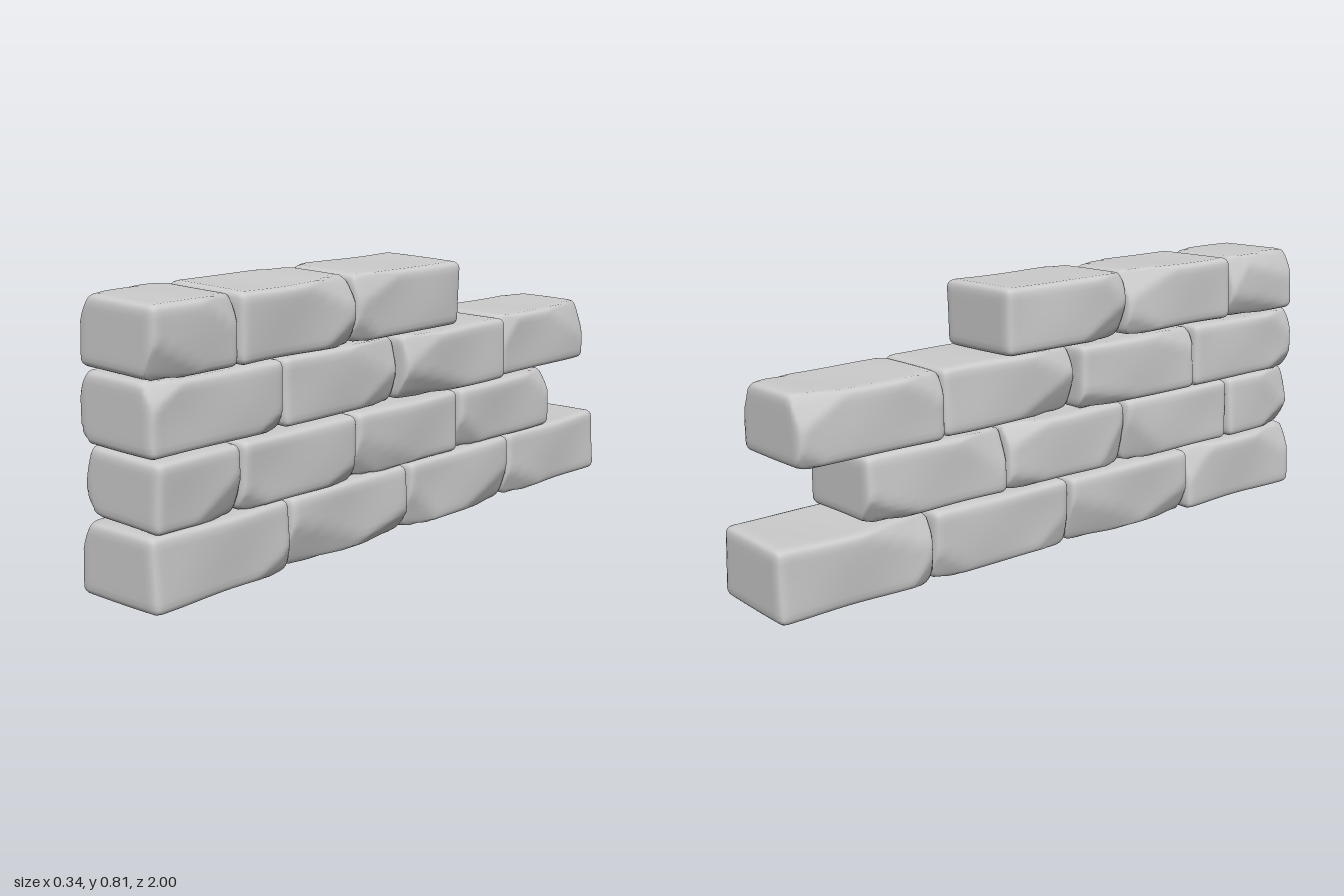
import * as THREE from 'three';
import { mergeVertices } from 'three/addons/utils/BufferGeometryUtils.js';

// Small seeded generator so every stone is worn differently but repeatably
function seeded(seed) {
  let s = seed * 7919 + 17;
  return () => {
    s = (s * 16807) % 2147483647;
    return s / 2147483647;
  };
}

// Worn stone block: rounded box with chipped edges and soft dents
function stoneGeometry(w, h, d, seed) {
  const rnd = seeded(seed);
  for (let i = 0; i < 5; i++) rnd();
  const half = new THREE.Vector3(w / 2, h / 2, d / 2);
  const radius = 0.024;
  const inner = half.clone().subScalar(radius);

  // Chip planes cut shallow facets along the edges of the two broad sides
  const chips = [];
  for (let i = 0; i < 5; i++) {
    const sx = i % 2 ? 1 : -1;
    const sy = rnd() < 0.6 ? -1 : 1;
    const sz = rnd() < 0.5 ? -1 : 1;
    const n = new THREE.Vector3(sx, sy * (0.3 + 0.4 * rnd()), sz * (0.12 + 0.3 * rnd())).normalize();
    const corner = new THREE.Vector3(sx * half.x, sy * half.y, sz * half.z);
    chips.push({ n, c: n.dot(corner) - 0.028 - 0.022 * rnd() });
  }
  const phase = [rnd() * 6, rnd() * 6, rnd() * 6];

  const geo = new THREE.BoxGeometry(2, 2, 2, 14, 12, 26);
  geo.deleteAttribute('uv');
  geo.deleteAttribute('normal');
  const merged = mergeVertices(geo, 1e-4);
  const pos = merged.attributes.position;
  const p = new THREE.Vector3();
  const core = new THREE.Vector3();
  // Crowd the grid lines towards the edges, where the rounding happens
  const spread = (t) => 0.25 * t + 0.75 * Math.sin((t * Math.PI) / 2);
  for (let i = 0; i < pos.count; i++) {
    p.fromBufferAttribute(pos, i);
    p.set(spread(p.x), spread(p.y), spread(p.z)).multiply(half);
    core.copy(p).clamp(inner.clone().negate(), inner);
    p.sub(core).setLength(radius).add(core);
    for (const { n, c } of chips) {
      const over = n.dot(p) - c;
      if (over > 0) p.addScaledVector(n, -over * 0.9);
    }
    // Soft waves, strongest across the broad sides
    const wave = Math.sin(p.z * 13 + phase[0]) * Math.cos(p.y * 14 + phase[1]);
    p.x += (p.x / half.x) * 0.005 * (wave - 0.3);
    p.y += (p.y / half.y) * 0.0025 * (Math.sin(p.z * 15 + phase[2]) * Math.cos(p.x * 9) - 0.3);
    pos.setXYZ(i, p.x, p.y, p.z);
  }
  merged.computeVertexNormals();
  return merged;
}

export function createModel() {
  const wall = new THREE.Group();
  wall.name = 'brokenStoneWall';
  const material = new THREE.MeshStandardMaterial({ color: 0xcccccc });

  // Courses from the ground up; each stone is [front z, back z, sideways shift]
  const courses = [
    { y0: 0.003, y1: 0.209, tilt: 0.012, stones: [[1.0, 0.505, -0.002], [0.5, 0.004, -0.006], [0, -0.495, 0], [-0.5, -1.0, -0.004]] },
    { y0: 0.211, y1: 0.406, tilt: -0.025, stones: [[0.98, 0.685, -0.003], [0.68, 0.232, -0.004], [0.228, -0.232, -0.003], [-0.237, -0.718, -0.002]] },
    { y0: 0.409, y1: 0.605, tilt: -0.015, stones: [[0.986, 0.518, -0.008], [0.513, 0.04, -0.014], [0.034, -0.45, 0.014], [-0.456, -0.926, -0.008]] },
    { y0: 0.608, y1: 0.804, tilt: -0.028, stones: [[0.98, 0.685, -0.003], [0.68, 0.23, -0.002], [0.226, -0.238, -0.006]] },
  ];

  let seed = 1;
  courses.forEach(({ y0, y1, tilt, stones }, row) => {
    const course = new THREE.Group();
    course.name = `course${row + 1}`;
    stones.forEach(([zFront, zBack, shift], i) => {
      const stone = new THREE.Mesh(stoneGeometry(0.304, y1 - y0, zFront - zBack, seed++), material);
      stone.name = `stone${i + 1}`;
      stone.position.set(shift, (y0 + y1) / 2, (zFront + zBack) / 2);
      stone.rotation.z = tilt;
      course.add(stone);
    });
    wall.add(course);
  });
  return wall;
}
